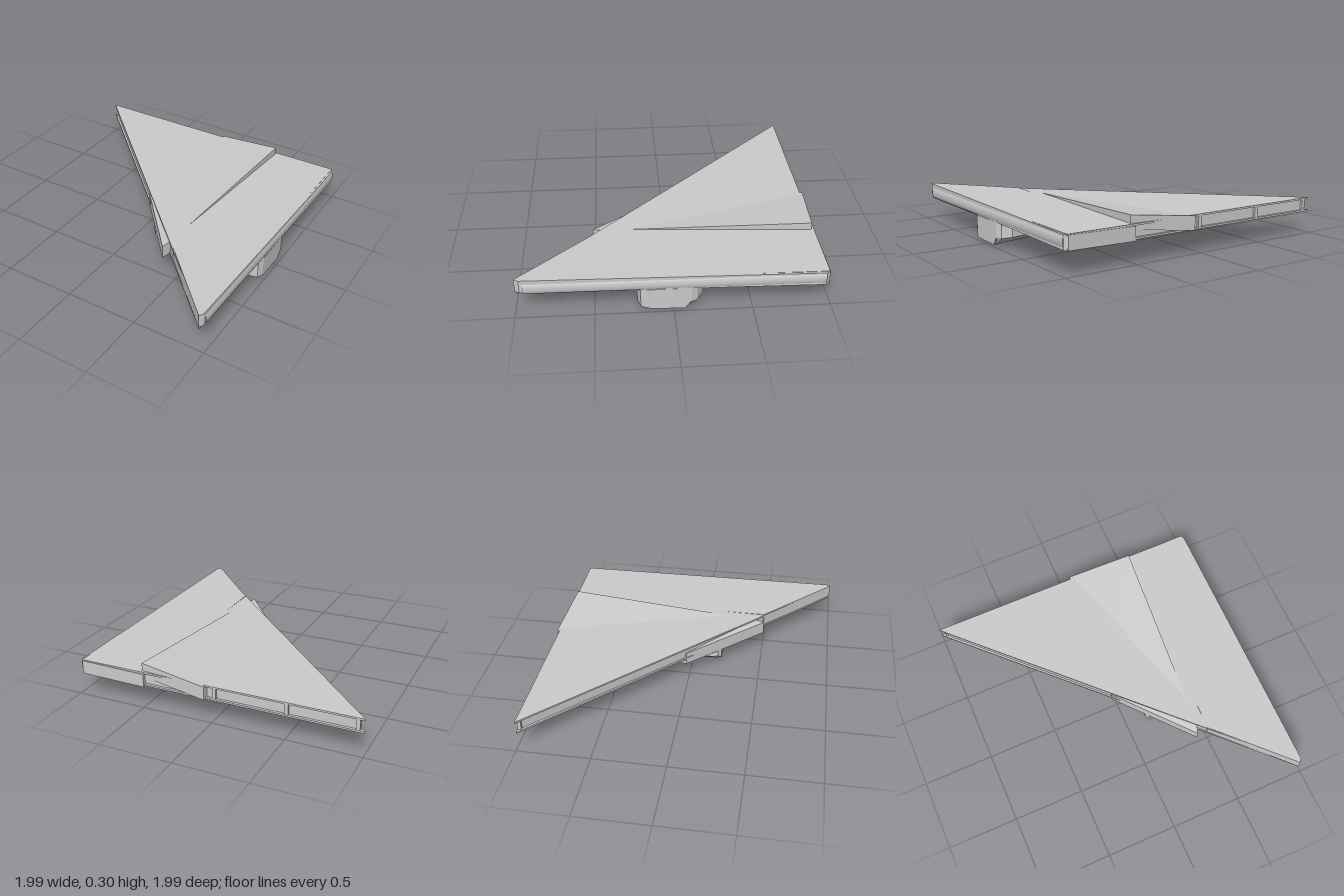
import * as THREE from 'three';

const material = new THREE.MeshStandardMaterial({ color: 0xcccccc, flatShading: true });
const smooth = new THREE.MeshStandardMaterial({ color: 0xcccccc });

// Closed solid through rings of points; ring order turns anticlockwise about the loft direction
function loft(rings) {
  const pos = [];
  const tri = (a, b, c) => pos.push(...a, ...b, ...c);
  const n = rings[0].length;
  for (let i = 0; i < rings.length - 1; i++) {
    for (let j = 0; j < n; j++) {
      const k = (j + 1) % n;
      const [p, q] = [rings[i], rings[i + 1]];
      tri(p[j], p[k], q[k]);
      tri(p[j], q[k], q[j]);
    }
  }
  const first = rings[0], last = rings[rings.length - 1];
  for (let j = 1; j < n - 1; j++) {
    tri(first[0], first[j + 1], first[j]);
    tri(last[0], last[j], last[j + 1]);
  }
  const geo = new THREE.BufferGeometry();
  geo.setAttribute('position', new THREE.Float32BufferAttribute(pos, 3));
  geo.computeVertexNormals();
  return geo;
}

// Flat plate: outline in [x, z], top height given by a plane rule
function plate(outline, heightAt, thickness) {
  const ring = (drop) => outline.map(([x, z]) => [x, heightAt(x, z) - drop, z]);
  return loft([ring(thickness), ring(0)]);
}

export function createModel() {
  const model = new THREE.Group();
  const add = (name, geo, mat = material) => {
    const mesh = new THREE.Mesh(geo, mat);
    mesh.name = name;
    model.add(mesh);
    return mesh;
  };

  // Triangular main panel: two thin skins around a slightly recessed core
  const triangle = [[-1, -0.98], [0.95, 0.98], [0.975, -0.98]];
  add('topSkin', plate(triangle, () => 0.247, 0.012));
  add('bottomSkin', plate(triangle, () => 0.162, 0.012));
  const core = [[-0.96, -0.962], [0.945, 0.965], [0.97, -0.962]];
  add('panelCore', plate(core, () => 0.24, 0.085));

  // Dividers along the recessed back edge
  for (const x of [-0.955, -0.5, -0.01]) {
    const post = add('backDivider', new THREE.BoxGeometry(0.025, 0.09, 0.025));
    post.position.set(x, 0.198, -0.965);
  }

  // Middle plate, tilted through the main panel: proud above at the back, below at the front
  const middle = [[-0.035, -0.02], [0.4, 0.505], [0.42, 0.44], [0.52, -0.96], [0.05, -1]];
  add('tiltedMiddlePlate',
    plate(middle, (x, z) => 0.2 + 0.1214 * (x + 0.03) - 0.0354 * (z + 0.02), 0.093));

  // Side plate, lifted towards the front corner
  const side = [[0.48, 0.5], [0.95, 0.99], [0.968, 0.96], [0.988, -0.96], [0.97, -0.985], [0.5, -0.985]];
  add('liftedSidePlate',
    plate(side, (x, z) => 0.248 + 0.017 * (x - 0.48) + 0.012 * (z - 0.25), 0.092));

  // Rounded rail along the long side
  const railGeo = new THREE.CylinderGeometry(0.044, 0.044, 1.9, 20);
  railGeo.rotateX(Math.PI / 2);
  railGeo.scale(0.45, 1, 1);
  const rail = add('roundedSideRail', railGeo, smooth);
  rail.position.set(0.965, 0.2, -0.01);
  rail.rotation.y = -0.01;

  // Faceted pod under the panel, widening and deepening towards the outer side
  const podSection = (x, bottom, zMin, zMax, top) => [
    [x, top, zMax], [x, bottom + 0.015, zMax], [x, bottom + 0.005, zMax - 0.03],
    [x, bottom, -0.07], [x, bottom + 0.055, zMin], [x, top, zMin],
  ];
  add('underslungPod', loft([
    podSection(0.14, 0.06, -0.11, 0.19, 0.13),
    podSection(0.165, 0.035, -0.13, 0.215, 0.16),
    podSection(0.52, 0.03, -0.17, 0.23, 0.17),
    podSection(0.9, 0.008, -0.19, 0.23, 0.17),
    podSection(0.96, 0, -0.15, 0.21, 0.17),
    podSection(0.978, 0.002, -0.11, 0.17, 0.16),
  ]));

  return model;
}
